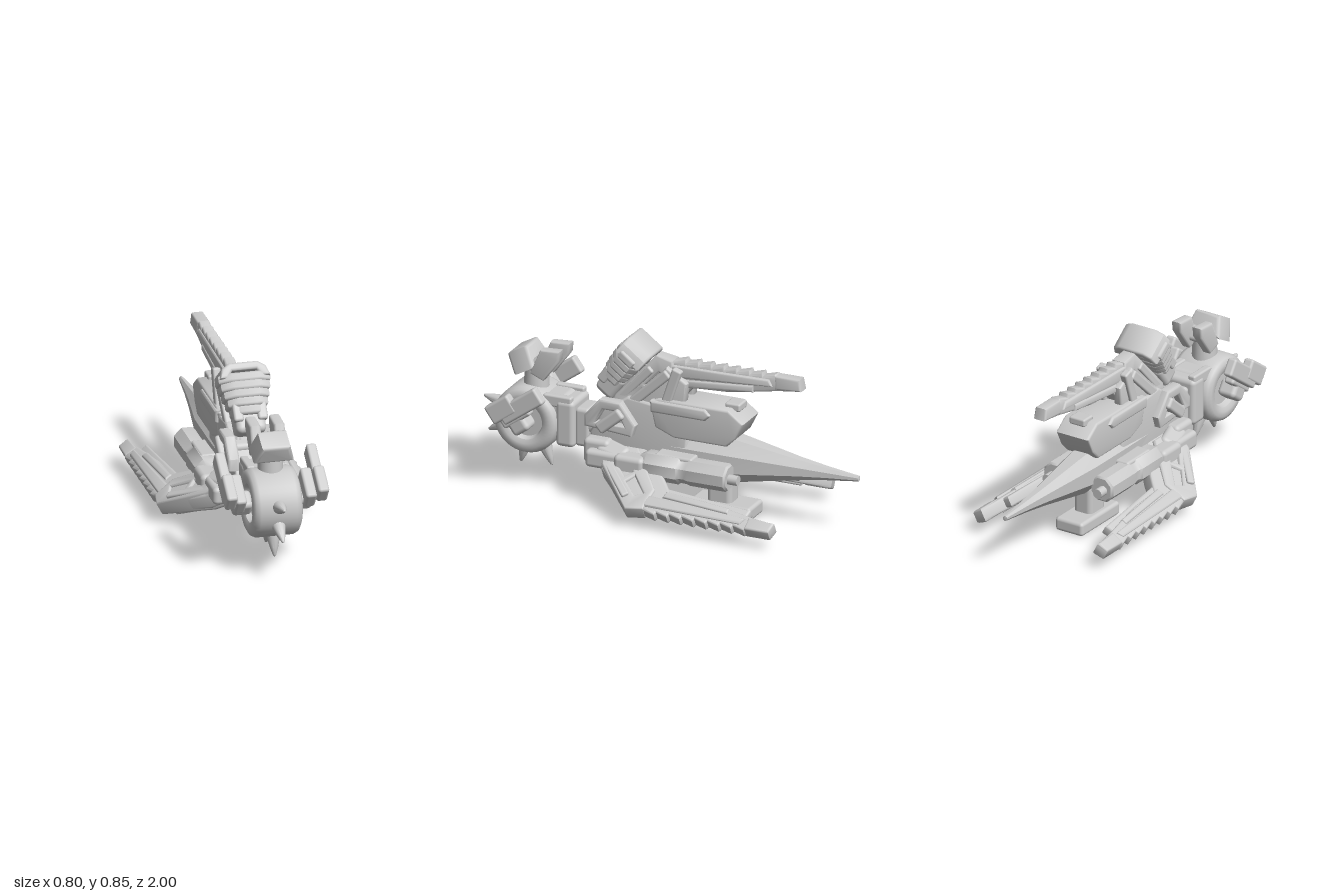
import * as THREE from 'three';
import { toCreasedNormals } from 'three/addons/utils/BufferGeometryUtils.js';
import { RoundedBoxGeometry } from 'three/addons/geometries/RoundedBoxGeometry.js';

const grey = new THREE.MeshStandardMaterial({ color: 0xcccccc });

function add(parent, name, geo, x = 0, y = 0, z = 0, rx = 0, rz = 0) {
  const m = new THREE.Mesh(geo, grey);
  m.name = name;
  m.position.set(x, y, z);
  m.rotation.set(rx, 0, rz);
  parent.add(m);
  return m;
}

function box(parent, name, w, h, d, x, y, z, rx = 0) {
  const r = Math.min(w, h, d) * 0.25;
  return add(parent, name, new RoundedBoxGeometry(w, h, d, 3, r), x, y, z, rx);
}

// Bevelled slab from a 2D outline, centred on its depth
function slab(pts, depth, holes = [], bevel = 0.012) {
  const s = new THREE.Shape(pts.map(p => new THREE.Vector2(p[0], p[1])));
  holes.forEach(h => s.holes.push(new THREE.Path(h.map(p => new THREE.Vector2(p[0], p[1])))));
  const d = depth - 2 * bevel;
  const g = new THREE.ExtrudeGeometry(s, {
    depth: d, bevelThickness: bevel, bevelSize: bevel, bevelOffset: -bevel, bevelSegments: 3,
  });
  g.translate(0, 0, -d / 2);
  return toCreasedNormals(g, 0.75);
}

// Side outline given as (z, y), with its thickness along x
const side = (pts, width, holes) => slab(pts, width, holes).rotateY(-Math.PI / 2);

function lathe(pts, sides, crease = 0.7) {
  return toCreasedNormals(new THREE.LatheGeometry(pts.map(p => new THREE.Vector2(p[0], p[1])), sides), crease);
}

// Wing plate that grows thinner from root to outer edge
function wingPlate(pts, width, holes) {
  const g = side(pts, width, holes);
  const p = g.attributes.position;
  for (let i = 0; i < p.count; i++) p.setX(i, p.getX(i) * (1.08 - 2 * p.getY(i)));
  return toCreasedNormals(g, 0.75);
}

// Serrated swept wing: y points outward from the body
function makeWing(name) {
  const w = new THREE.Group();
  w.name = name;
  const outline = [[0.07, 0.14]];
  const teeth = 8;
  for (let i = 0; i < teeth; i++) {
    const z = -0.02 - i * 0.068;
    outline.push([z, 0.138], [z - 0.062, 0.156]);
  }
  outline.push([-0.575, 0.14], [-0.69, 0.15], [-0.70, 0.09], [-0.58, 0.075], [-0.45, 0.05], [-0.30, 0.025],
    [-0.12, 0.015], [-0.06, -0.06], [0.10, -0.22], [0.33, -0.22], [0.28, -0.06]);
  add(w, 'wingBlade', wingPlate(outline, 0.072));
  add(w, 'wingSpar', wingPlate([[0.0, 0.12], [-0.53, 0.13], [-0.55, 0.095], [-0.02, 0.055]], 0.096));
  add(w, 'wingRail', wingPlate([[-0.09, 0.055], [-0.45, 0.085], [-0.45, 0.05], [-0.10, 0.015]], 0.09));
  add(w, 'wingTip', wingPlate([[-0.56, 0.15], [-0.69, 0.15], [-0.70, 0.09], [-0.56, 0.08]], 0.08));
  // Shoulder arm with a ladder of openings
  add(w, 'wingArm', wingPlate([[0.32, -0.2], [0.28, -0.07], [0.07, 0.155], [-0.02, 0.14], [-0.04, 0.02], [0.13, -0.2]], 0.098,
    [[[0.12, 0.0], [0.05, 0.07], [0.01, 0.05], [0.09, -0.04]],
      [[0.2, -0.09], [0.14, -0.03], [0.11, -0.06], [0.17, -0.13]]]));
  box(w, 'armBrace', 0.12, 0.04, 0.24, 0, 0.0, 0.17, 0.82);
  box(w, 'armRoot', 0.17, 0.1, 0.16, 0, -0.16, 0.25, 0.3);
  return w;
}

export function createModel() {
  const model = new THREE.Group();
  model.name = 'spikedCraft';

  // Long tapered fuselage
  const hull = add(model, 'tailHull', lathe([[0, -1], [0.014, -0.995], [0.034, -0.83], [0.057, -0.68],
    [0.118, -0.36], [0.118, -0.1], [0.105, 0.2], [0.075, 0.42], [0, 0.42]], 8).rotateX(Math.PI / 2), 0, 0.295, 0, 0, Math.PI / 8);
  hull.scale.x = 0.85;
  add(model, 'bodyCore', side([[0.36, 0.24], [0.4, 0.34], [0.33, 0.46], [0.2, 0.55], [-0.05, 0.52],
    [-0.12, 0.38], [-0.1, 0.22], [0.2, 0.2]], 0.18));

  // Neck joining the drum
  box(model, 'neckCollar', 0.2, 0.24, 0.1, 0, 0.355, 0.53);
  box(model, 'neckRing', 0.14, 0.2, 0.08, 0, 0.34, 0.45);
  box(model, 'drumYoke', 0.18, 0.15, 0.14, 0, 0.41, 0.6);
  add(model, 'neckShaft', new THREE.CylinderGeometry(0.065, 0.065, 0.2, 16).rotateX(Math.PI / 2), 0, 0.35, 0.4);

  // Drum with recessed sides
  add(model, 'drum', lathe([[0, -0.085], [0.085, -0.085], [0.095, -0.113], [0.115, -0.123], [0.14, -0.123], [0.16, -0.112],
    [0.17, -0.09], [0.17, 0.09], [0.16, 0.112], [0.14, 0.123], [0.115, 0.123], [0.095, 0.113], [0.085, 0.085], [0, 0.085]], 40)
    .rotateZ(Math.PI / 2), 0, 0.345, 0.735);
  for (const deg of [11, -27, -75, -111]) {
    const a = deg * Math.PI / 180;
    const g = lathe([[0.036, 0], [0.032, 0.03], [0.02, 0.08], [0.007, 0.12], [0, 0.125]], 14).translate(0, 0.147, 0);
    add(model, 'spike', g, 0, 0.345, 0.735, Math.PI / 2 - a);
  }

  // Small head above the drum
  add(model, 'headPost', new THREE.CylinderGeometry(0.058, 0.065, 0.16, 20), 0, 0.53, 0.72);
  add(model, 'headBlock', slab([[-0.1, -0.055], [0.1, -0.055], [0.095, -0.03], [0.07, 0.055], [-0.07, 0.055], [-0.095, -0.03]], 0.12, [], 0.018),
    0, 0.643, 0.77, 0.5);
  box(model, 'headRear', 0.15, 0.08, 0.09, 0, 0.62, 0.69, 0.5);

  for (const s of [-1, 1]) {
    // Wedge-shaped prongs behind the head
    add(model, 'headProng', side([[0.665, 0.715], [0.56, 0.722], [0.565, 0.67], [0.65, 0.555], [0.72, 0.585]], 0.055), s * 0.06, 0, 0);
    box(model, 'collarBar', 0.04, 0.06, 0.15, s * 0.075, 0.465, 0.57);

    // Tilted arm plates beside the drum
    box(model, 'outerArmPlate', 0.05, 0.09, 0.25, s * 0.228, 0.472, 0.7, 0.62);
    box(model, 'outerArmFoot', 0.055, 0.1, 0.15, s * 0.228, 0.44, 0.8, 0.62);
    box(model, 'innerArmPlate', 0.055, 0.1, 0.17, s * 0.175, 0.41, 0.76, 0.62);
    box(model, 'armPivot', 0.1, 0.09, 0.1, s * 0.15, 0.35, 0.735, 0.62);

    // Framed shoulder and diagonal struts
    add(model, 'shoulderFrame', side([[0.41, 0.38], [0.41, 0.44], [0.33, 0.53], [0.22, 0.53], [0.14, 0.42], [0.16, 0.36]], 0.06,
      [[[0.35, 0.41], [0.31, 0.48], [0.24, 0.48], [0.2, 0.41]]]), s * 0.1, 0, 0);
    box(model, 'shoulderPiston', 0.06, 0.06, 0.16, s * 0.12, 0.43, 0.27, 0.7);
    box(model, 'rearStrut', 0.045, 0.05, 0.42, s * 0.065, 0.56, 0.14, 0.75);
    box(model, 'crossStrut', 0.04, 0.05, 0.34, s * 0.07, 0.57, -0.01, 1.25);
    add(model, 'sidePanel', side([[0.26, 0.46], [0.0, 0.73], [-0.11, 0.66], [-0.1, 0.55], [0.05, 0.36]], 0.045), s * 0.05, 0, 0);

    // Stepped lower mounts
    box(model, 'lowerMount', 0.09, 0.09, 0.2, s * 0.15, 0.24, 0.28);
    box(model, 'mountStep', 0.1, 0.13, 0.14, s * 0.1, 0.26, 0.34);
    box(model, 'mountRear', 0.1, 0.1, 0.16, s * 0.165, 0.24, 0.14);

    // Thruster pods
    const pod = lathe([[0, -0.37], [0.06, -0.37], [0.07, -0.36], [0.07, -0.17], [0.064, -0.15],
      [0.064, -0.12], [0.073, -0.11], [0.073, 0.06], [0.05, 0.1], [0, 0.1]], 8).rotateX(Math.PI / 2);
    add(model, 'thruster', pod, s * 0.137, 0.243, 0, 0, Math.PI / 8);
    add(model, 'thrusterNub', new THREE.CylinderGeometry(0.025, 0.025, 0.07, 14).rotateX(Math.PI / 2), s * 0.148, 0.24, -0.385);
    box(model, 'thrusterBracket', 0.11, 0.05, 0.2, s * 0.11, 0.29, -0.08);

    // Lower wings, with a second rail along the inner edge
    const wing = makeWing('lowerWing');
    add(wing, 'innerRail', wingPlate([[0.05, 0.06], [-0.54, 0.09], [-0.55, 0.03], [-0.1, -0.015], [0.03, -0.035]], 0.055));
    wing.position.set(s * 0.248, 0.15, 0);
    wing.rotation.z = -s * 2.06;
    model.add(wing);
  }

  // Upper rear pod with hatch
  add(model, 'rearPod', side([[0.08, 0.55], [0.03, 0.57], [-0.34, 0.57], [-0.42, 0.51], [-0.38, 0.43],
    [-0.33, 0.38], [-0.05, 0.38], [0.05, 0.42]], 0.19));
  add(model, 'podBand', side([[0.07, 0.56], [-0.22, 0.56], [-0.25, 0.53], [-0.22, 0.5], [0.07, 0.5]], 0.215));
  box(model, 'podHatch', 0.09, 0.04, 0.08, 0, 0.57, -0.34);

  // Upper wing
  const topWing = makeWing('upperWing');
  topWing.position.set(0, 0.615, 0);
  model.add(topWing);

  // Ribbed hood leaning forward over the upper wing
  const hood = new THREE.Group();
  hood.name = 'ribbedHood';
  hood.position.set(0, 0.705, 0.235);
  hood.rotation.x = -0.65;
  model.add(hood);
  const plate = (w, d) => [[-w, -d * 0.3], [-w, d * 0.25], [-w * 0.55, d * 0.5], [w * 0.55, d * 0.5],
    [w, d * 0.25], [w, -d * 0.3], [w * 0.7, -d * 0.5], [-w * 0.7, -d * 0.5]];
  [[0.085, 0.12], [0.1, 0.135], [0.112, 0.145], [0.122, 0.15], [0.13, 0.15]].forEach(([w, d], i) => {
    add(hood, 'hoodRib', slab(plate(w, d), 0.05, [], 0.016).rotateX(Math.PI / 2), 0, -0.09 + i * 0.04, 0);
  });
  // Arched cap, open underneath at the back
  add(hood, 'hoodCap', slab([[-0.125, -0.035], [-0.085, -0.035], [-0.06, 0.0], [0.06, 0.0], [0.085, -0.035], [0.125, -0.035],
    [0.11, 0.015], [0.07, 0.04], [-0.07, 0.04], [-0.11, 0.015]], 0.15, [], 0.012), 0, 0.105, -0.01);
  box(hood, 'hoodNeck', 0.15, 0.14, 0.11, 0, -0.13, -0.015);
  for (const s of [-1, 1]) box(hood, 'hoodClaw', 0.05, 0.09, 0.05, s * 0.06, -0.1, 0.03);

  // Landing foot and strut
  box(model, 'landingFoot', 0.16, 0.07, 0.33, 0, 0.035, -0.285);
  box(model, 'footStrut', 0.105, 0.18, 0.13, 0, 0.13, -0.27);
  return model;
}
